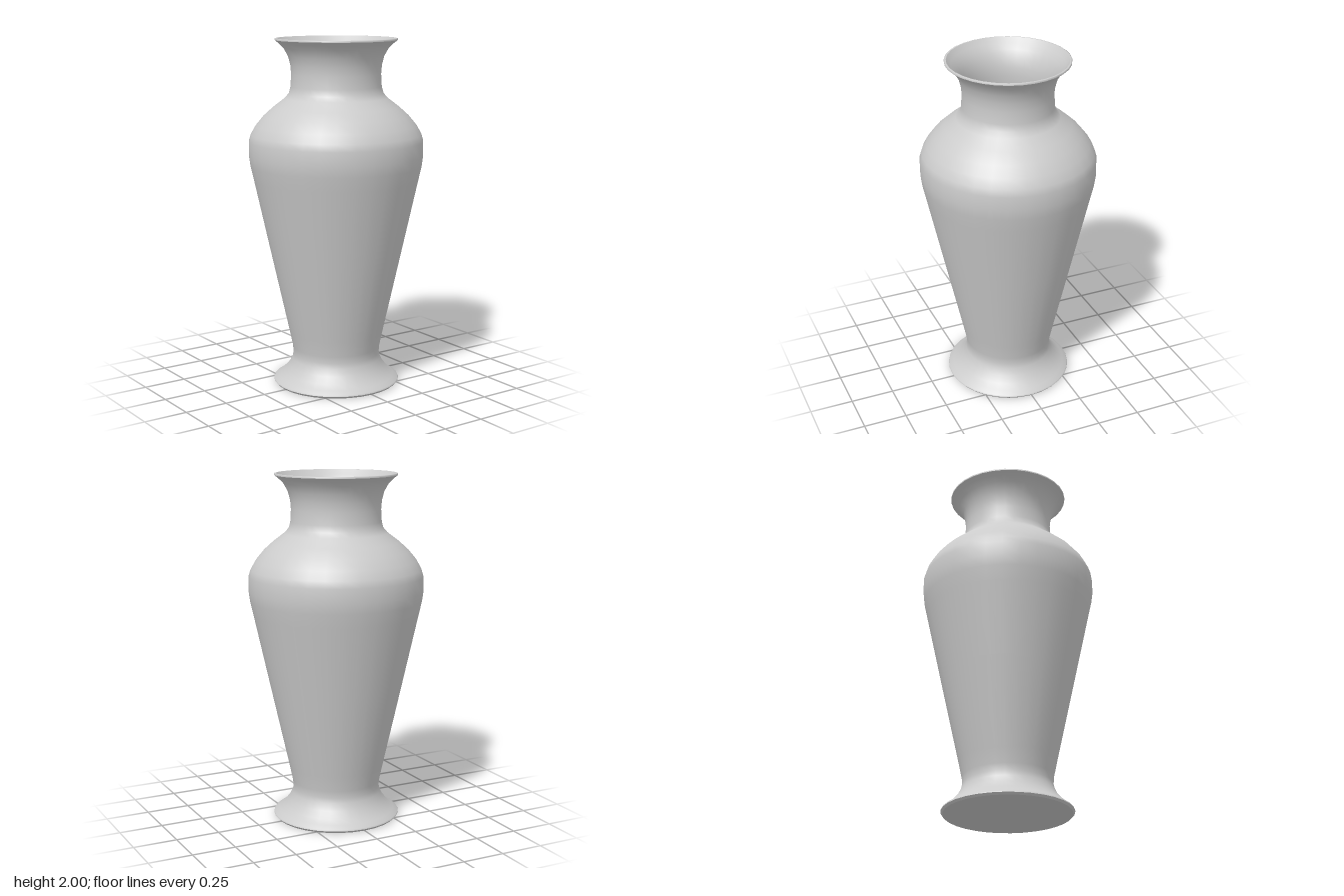
import * as THREE from 'three';

const SEGMENTS = 32;
const WALL = 0.012;

export function createModel() {
  const vase = new THREE.Group();
  vase.name = 'vase';
  const material = new THREE.MeshStandardMaterial({ color: 0xcccccc });

  // Spin a [radius, height] profile; upward profiles face outwards
  const addLathe = (name, profile) => {
    const points = profile.map(([r, y]) => new THREE.Vector2(r, y));
    const mesh = new THREE.Mesh(new THREE.LatheGeometry(points, SEGMENTS), material);
    mesh.name = name;
    vase.add(mesh);
  };

  // Flared foot, tapering body, shoulder, neck and flared mouth
  const foot = [[0.365, 0.012], [0.362, 0.02], [0.335, 0.038], [0.305, 0.064], [0.275, 0.1], [0.256, 0.14]];
  const body = [[0.25, 0.17], [0.253, 0.21], [0.272, 0.3], [0.38, 0.79], [0.47, 1.2], [0.488, 1.28], [0.496, 1.34]];
  const shoulder = [[0.495, 1.42], [0.483, 1.46], [0.455, 1.51], [0.41, 1.565], [0.355, 1.615], [0.29, 1.665]];
  const neck = [[0.267, 1.692], [0.257, 1.73], [0.253, 1.8], [0.257, 1.85], [0.27, 1.9], [0.295, 1.945], [0.322, 1.972], [0.345, 1.99]];
  addLathe('outerWall', [...foot, ...body, ...shoulder, ...neck]);

  // Thin lip on the mouth
  addLathe('rim', [[0.345, 1.99], [0.345, 1.998], [0.341, 2], [0.334, 2]]);

  // Hollow inside, following the outer wall downwards
  const inner = [...body, ...shoulder, ...neck.slice(0, -1)].map(([r, y]) => [r - WALL, y]);
  addLathe('innerWall', [[0.334, 2], ...inner.reverse(), [0.25, 0.03]]);
  addLathe('floor', [[0.25, 0.03], [0, 0.03]]);

  // Foot edge and flat underside
  addLathe('footEdge', [[0.355, 0], [0.365, 0.012]]);
  addLathe('underside', [[0, 0], [0.355, 0]]);

  vase.scale.z = 1.01;
  return vase;
}
